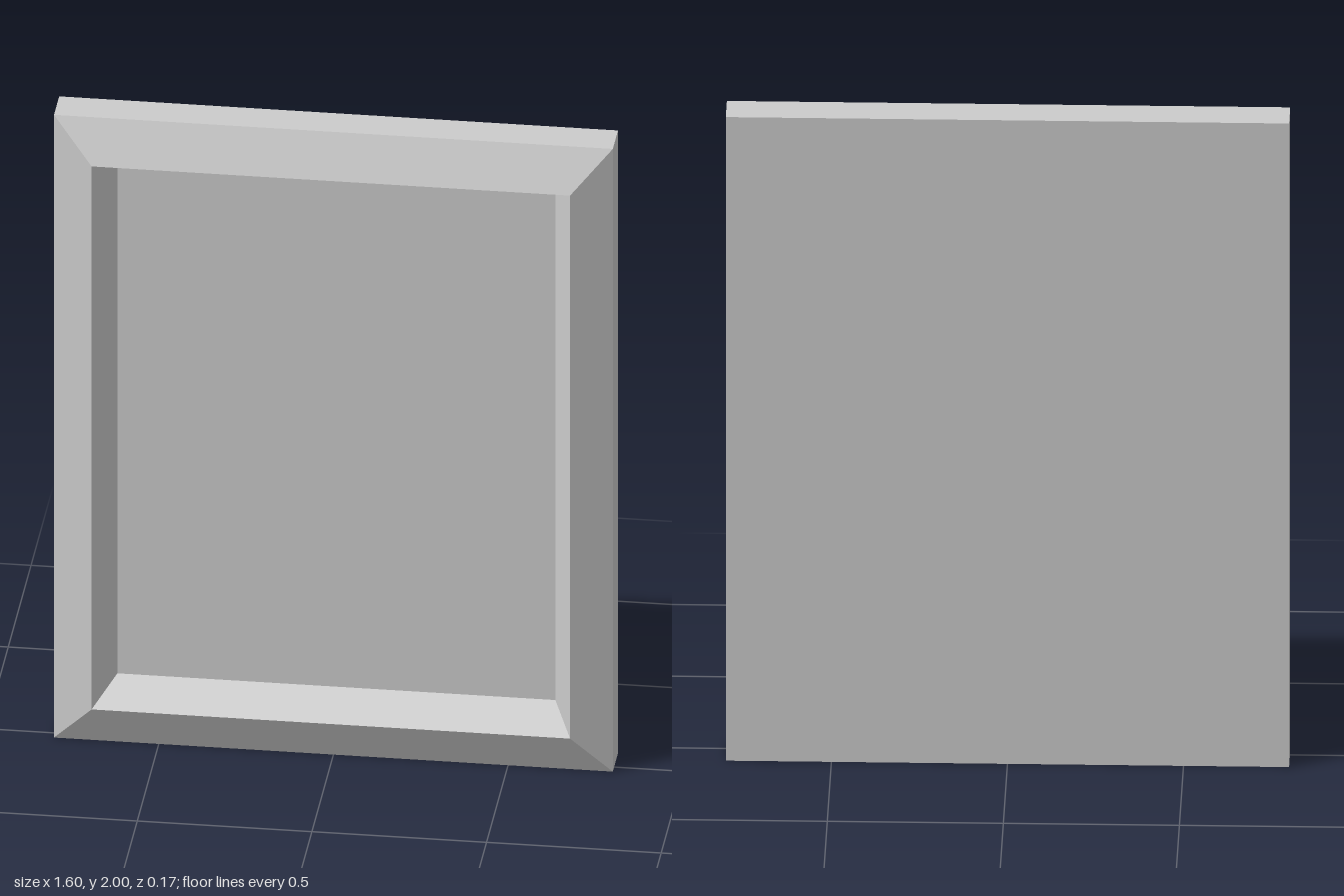
import * as THREE from 'three';

const material = new THREE.MeshStandardMaterial({ color: 0xcccccc, flatShading: true });
const CENTER_Y = 1;

// Corners of a rectangle [half width, half height, z], counter-clockwise from the front
const corners = ([w, h, z]) =>
  [[-w, -h], [w, -h], [w, h], [-w, h]].map(([x, y]) => [x, CENTER_Y + y, z]);

// Mitred walls joining successive rectangles
function rectangularLoft(rings) {
  const positions = [];
  for (let r = 0; r < rings.length - 1; r++) {
    const a = corners(rings[r]);
    const b = corners(rings[r + 1]);
    for (let i = 0; i < 4; i++) {
      const j = (i + 1) % 4;
      positions.push(...a[i], ...a[j], ...b[j], ...a[i], ...b[j], ...b[i]);
    }
  }
  const geometry = new THREE.BufferGeometry();
  geometry.setAttribute('position', new THREE.Float32BufferAttribute(positions, 3));
  geometry.computeVertexNormals();
  return geometry;
}

export function createModel() {
  const group = new THREE.Group();
  group.name = 'pictureFrame';

  const add = (name, geometry) => {
    const mesh = new THREE.Mesh(geometry, material);
    mesh.name = name;
    group.add(mesh);
    return mesh;
  };

  // Frame section: outer side, front bevel up to the ridge, slope into the recess
  const back = [0.8, 1, -0.085];
  const edge = [0.8, 1, 0.028];
  const ridge = [0.685, 0.872, 0.085];
  const recess = [0.627, 0.816, -0.037];
  add('frameMoulding', rectangularLoft([back, edge, ridge, recess]));

  // Flat picture at the bottom of the recess
  const panel = add('picturePanel', new THREE.PlaneGeometry(recess[0] * 2, recess[1] * 2));
  panel.position.set(0, CENTER_Y, recess[2]);

  // Closed back
  const backing = add('backPanel', new THREE.PlaneGeometry(back[0] * 2, back[1] * 2));
  backing.position.set(0, CENTER_Y, back[2]);
  backing.rotation.y = Math.PI;

  return group;
}
